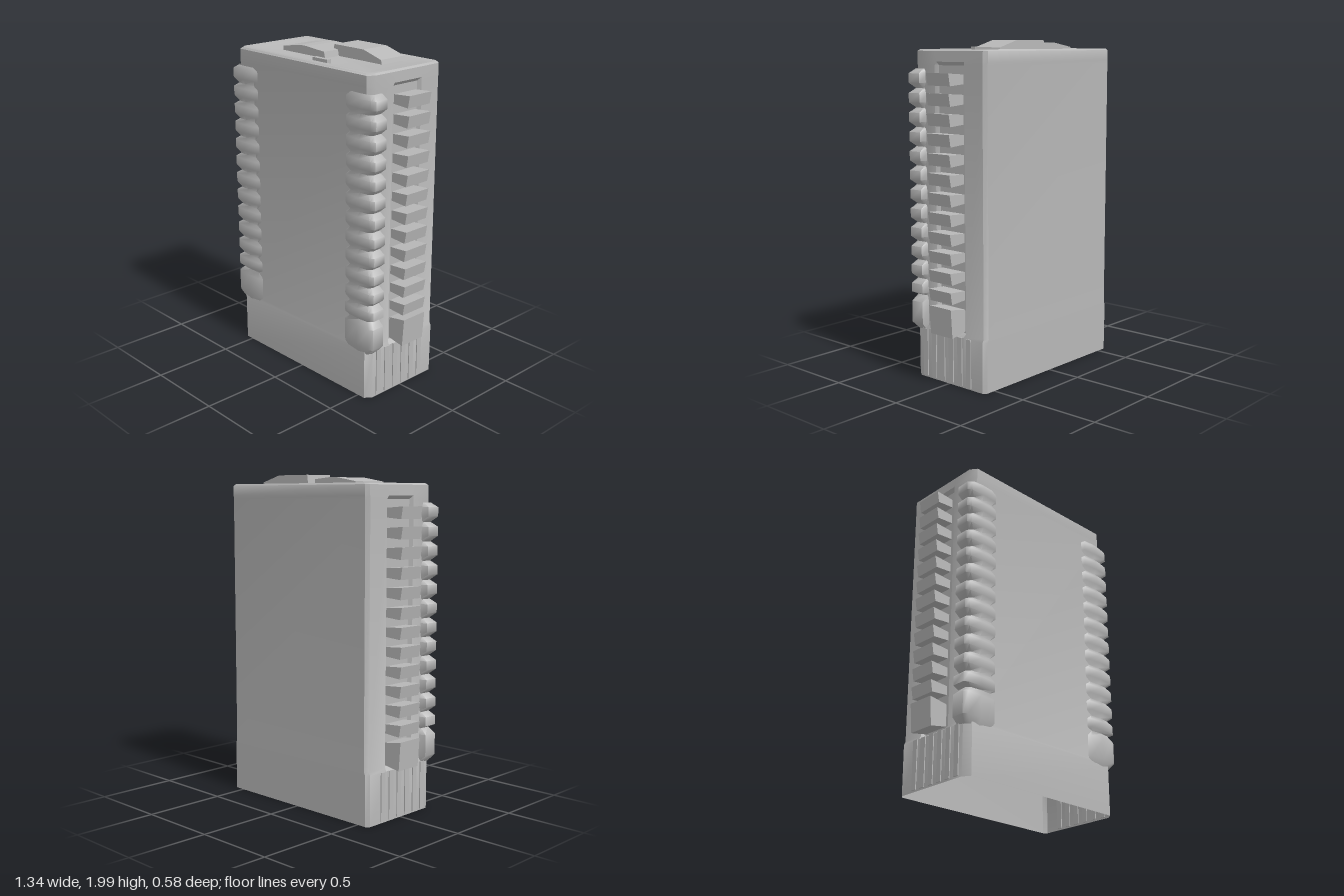
import * as THREE from 'three';
import { toCreasedNormals } from 'three/addons/utils/BufferGeometryUtils.js';

const concrete = new THREE.MeshStandardMaterial({ color: 0xb8b8b8, side: THREE.DoubleSide });
concrete.name = 'concrete';

// Skin a stack of rings of [x, y, z] points, optionally closed round and capped at the top
function loft(rings, closed, capY, crease = 0.7) {
  const n = rings[0].length, pos = rings.flat(2), idx = [];
  const cols = closed ? n : n - 1;
  for (let j = 0; j < rings.length - 1; j++) {
    for (let i = 0; i < cols; i++) {
      const a = j * n + i, b = j * n + (i + 1) % n;
      idx.push(a, b, b + n, a, b + n, a + n);
    }
  }
  if (capY !== undefined) {
    const c = pos.length / 3, base = (rings.length - 1) * n;
    pos.push(0, capY, -0.01);
    for (let i = 0; i < n; i++) idx.push(base + i, base + (i + 1) % n, c);
  }
  const geo = new THREE.BufferGeometry();
  geo.setAttribute('position', new THREE.Float32BufferAttribute(pos, 3));
  geo.setIndex(idx);
  return toCreasedNormals(geo, crease);
}

// Tower plan at one height: half width hx, front zf, back zb, side groove depth g
function planRing(y, hx, zf, zb, g = 0) {
  const half = [
    [hx - 0.03, zf], [hx, zf - 0.04], [hx, 0.1], [hx - g, 0.085],
    [hx - g, -0.115], [hx, -0.13], [hx, zb + 0.02], [hx - 0.02, zb],
  ];
  const left = half.map(([x, z]) => [-x, z]).reverse();
  return [...half, ...left].map(([x, z]) => [x, y, z]);
}

// Box whose outer (+x) end is taller than its inner end
function flaredSlab(x0, x1, z0, z1, h0, h1) {
  const s = new THREE.Shape();
  s.moveTo(x0, -h0 / 2);
  s.lineTo(x1 - 0.012, -h1 / 2);
  s.lineTo(x1, h1 / 2);
  s.lineTo(x0, h0 / 2);
  s.closePath();
  const geo = new THREE.ExtrudeGeometry(s, { depth: z1 - z0, bevelEnabled: false });
  return geo.translate(0, 0, z0);
}

// Roof block drawn as a front profile, extruded front to back
function roofBlock(profile, z0, z1) {
  const s = new THREE.Shape(profile.map(([x, y]) => new THREE.Vector2(x, y)));
  return new THREE.ExtrudeGeometry(s, { depth: z1 - z0, bevelEnabled: false }).translate(0, 0, z0);
}

export function createModel() {
  const model = new THREE.Group();
  model.name = 'apartmentTower';
  const add = (name, geo, parent = model) => {
    const mesh = new THREE.Mesh(geo, concrete);
    mesh.name = name;
    parent.add(mesh);
    return mesh;
  };

  // Hollow tower, open underneath, with a shallow dished roof
  add('towerShell', loft([
    planRing(0.01, 0.58, 0.275, -0.285),
    planRing(0.31, 0.58, 0.275, -0.288),
    planRing(0.33, 0.57, 0.27, -0.288, 0.02),
    planRing(1.86, 0.57, 0.27, -0.288, 0.02),
    planRing(1.88, 0.57, 0.272, -0.29),
    planRing(1.94, 0.568, 0.272, -0.29),
    planRing(1.95, 0.555, 0.262, -0.282),
    planRing(1.945, 0.5, 0.21, -0.24),
    planRing(1.935, 0.44, 0.16, -0.21),
  ], true, 1.935));

  // Roof machine rooms and hatch
  add('lowRoofBlock', roofBlock(
    [[-0.35, 1.93], [0.02, 1.93], [0.01, 1.972], [-0.14, 1.985], [-0.2, 1.985], [-0.35, 1.96]], -0.15, 0.09));
  add('highRoofBlock', roofBlock(
    [[-0.03, 1.93], [0.37, 1.93], [0.36, 1.96], [0.22, 2.0], [-0.02, 2.0]], -0.21, -0.02));
  add('roofHatch', new THREE.BoxGeometry(0.12, 0.025, 0.03).translate(0.1, 1.95, 0.19));

  // Storeys: [centre height, height], with a taller one at the bottom
  const storeys = [[0.405, 0.17]];
  for (let k = 11; k >= 0; k--) storeys.push([1.785 - k * 0.112, 0.07]);

  // Corner balcony plans: bulging at each storey, pinched between
  const bulge = [[0.36, 0.255], [0.4, 0.282], [0.5, 0.29], [0.59, 0.285], [0.615, 0.27], [0.612, 0.185], [0.555, 0.17]];
  const pinch = [[0.37, 0.25], [0.42, 0.27], [0.5, 0.274], [0.56, 0.268], [0.578, 0.245], [0.575, 0.19], [0.555, 0.175]];
  const at = (plan, y) => plan.map(([x, z]) => [x, y, z]);
  const cornerRings = [at(pinch, 0.3)];
  for (const [y, h] of storeys) {
    cornerRings.push(at(bulge, y - h * 0.36), at(bulge, y + h * 0.4), at(pinch, y + h / 2 + 0.02));
  }
  const mirrorRings = cornerRings.map(r => r.map(([x, y, z]) => [-x, y, z]).reverse());

  for (const [side, sx] of [['left', 1], ['right', -1]]) {
    add(side + 'CornerBalconies', loft(sx > 0 ? cornerRings : mirrorRings, false, undefined, 1.1));

    // Projecting balconies up the side wall
    const stack = new THREE.Group();
    stack.name = side + 'SideBalconies';
    if (sx < 0) stack.rotation.y = Math.PI;
    model.add(stack);
    const [z0, z1] = sx > 0 ? [-0.105, 0.07] : [-0.06, 0.11];
    for (const [y, h] of storeys) {
      add('sideBalcony', flaredSlab(0.54, 0.668, z0, z1, h * 0.75, h), stack).position.y = y;
    }

    // Upright ribs on the plinth side
    for (let i = 0; i < 6; i++) {
      add(side + 'PlinthRib', new THREE.BoxGeometry(0.012, 0.29, 0.035))
        .position.set(sx * 0.58, 0.165, 0.19 - i * 0.07);
    }
  }
  return model;
}
